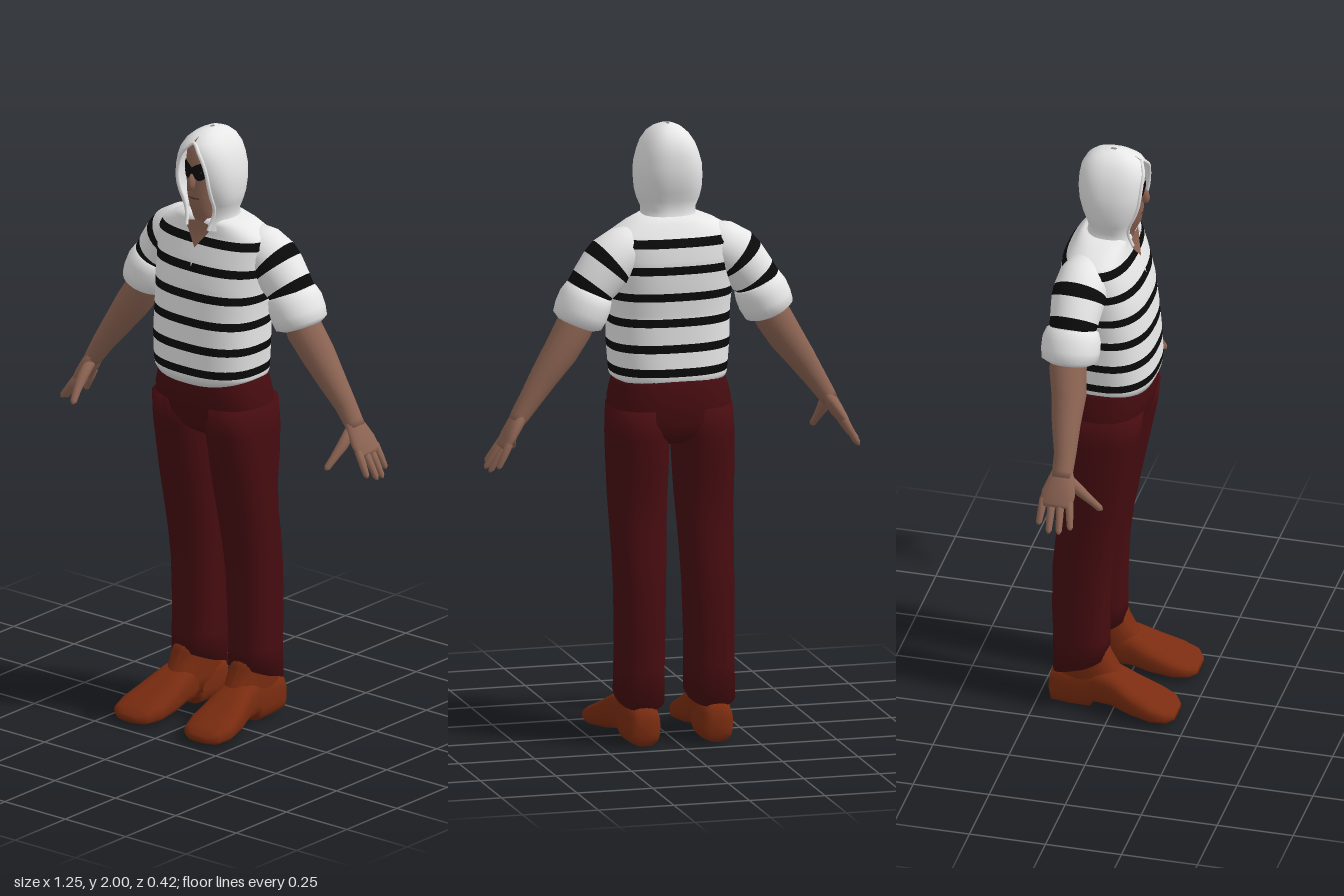
import * as THREE from 'three';

const paint = (name, color, side = THREE.FrontSide) => {
  const m = new THREE.MeshStandardMaterial({ color, side });
  m.name = name;
  return m;
};
const V = (x, y, z) => new THREE.Vector3(x, y, z);
const pw = (c, n) => Math.sign(c) * Math.abs(c) ** (2 / n);

// linear lookup in a table whose first column is y
function sample(table, y) {
  let i = 0;
  while (i < table.length - 2 && y > table[i + 1][0]) i++;
  const a = table[i], b = table[i + 1];
  const t = THREE.MathUtils.clamp((y - a[0]) / (b[0] - a[0]), 0, 1);
  return a.map((v, k) => v + (b[k] - v) * t);
}

// horizontal rounded ring, starting at the front; open = half width of a gap at the front
function ring([y, rx, zf, zb], { cx = 0, n = 2.3, seg = 32, open = 0, shift = null } = {}) {
  const zc = (zf + zb) / 2, rz = (zf - zb) / 2;
  const a0 = open ? Math.asin(Math.min(1, (open / rx) ** (n / 2))) : 0;
  return Array.from({ length: seg }, (_, j) => {
    const a = a0 + (2 * Math.PI - 2 * a0) * j / (seg - 1 + 1e-9);
    const s = Math.sin(a), c = Math.cos(a);
    return V(cx + rx * pw(s, n), y + (shift ? shift(s, c) : 0), zc + rz * pw(c, n));
  });
}

// skin over a row of rings; pick(i) gives the material index of band i
function loft(rings, { caps = true, pick = null } = {}) {
  const n = rings[0].length, pos = [], idx = [];
  const geo = new THREE.BufferGeometry();
  rings.forEach(r => r.forEach(p => pos.push(p.x, p.y, p.z)));
  for (let i = 0; i < rings.length - 1; i++) {
    const start = idx.length;
    for (let j = 0; j < n - (caps ? 0 : 1); j++) {
      const a = i * n + j, b = i * n + (j + 1) % n;
      idx.push(a, b, a + n, b, b + n, a + n);
    }
    if (pick) geo.addGroup(start, idx.length - start, pick(i));
  }
  if (caps) [0, rings.length - 1].forEach((i, end) => {
    const start = idx.length, k = pos.length / 3;
    const c = rings[i].reduce((s, p) => s.add(p), V(0, 0, 0)).divideScalar(n);
    pos.push(c.x, c.y, c.z);
    for (let j = 0; j < n; j++) {
      const a = i * n + j, b = i * n + (j + 1) % n;
      end ? idx.push(a, b, k) : idx.push(b, a, k);
    }
    if (pick) geo.addGroup(start, idx.length - start, 0);
  });
  geo.setAttribute('position', new THREE.Float32BufferAttribute(pos, 3));
  geo.setIndex(idx);
  geo.computeVertexNormals();
  return geo;
}

// limb along rows of [x, y, z, radius across, radius in depth]
function limb(rows, opts = {}, seg = 20) {
  const c = rows.map(r => V(r[0], r[1], r[2]));
  return loft(rows.map((r, i) => {
    const t = c[Math.min(i + 1, c.length - 1)].clone().sub(c[Math.max(i - 1, 0)]).normalize();
    const v = V(0, 0, 1).addScaledVector(t, -t.z).normalize();
    const u = v.clone().cross(t);
    return Array.from({ length: seg }, (_, j) => {
      const a = 2 * Math.PI * j / seg;
      return c[i].clone().addScaledVector(u, r[3] * Math.cos(a)).addScaledVector(v, (r[4] ?? r[3]) * Math.sin(a));
    });
  }), opts);
}

// thin painted plate that follows the front of a lofted table
function plate(table, n, w, lo, hi, lift = 0.004) {
  const rings = [0, 0.2, 0.4, 0.6, 0.8, 1].map(t => Array.from({ length: 17 }, (_, j) => {
    const x = w * (j / 8 - 1), y = lo(x) + (hi(x) - lo(x)) * t;
    const [, rx, zf, zb] = sample(table, y);
    const f = Math.max(0, 1 - Math.abs(x / rx) ** n) ** (1 / n);
    return V(x, y, (zf + zb) / 2 + (zf - zb) / 2 * f + lift);
  }));
  return loft(rings, { caps: false });
}

const TORSO = [[1.165, .185, .1, -.172], [1.19, .187, .112, -.18], [1.22, .19, .115, -.182], [1.3, .197, .11, -.178],
  [1.4, .197, .1, -.178], [1.5, .205, .085, -.188], [1.58, .213, .062, -.192], [1.63, .216, .044, -.185],
  [1.66, .197, .034, -.165], [1.69, .145, .03, -.145], [1.71, .095, .028, -.125]];
const HEAD = [[1.66, .05, .03, -.09], [1.7, .053, .033, -.09], [1.725, .047, .045, -.085], [1.745, .05, .055, -.09],
  [1.79, .058, .063, -.1], [1.84, .065, .063, -.12], [1.88, .069, .065, -.12], [1.93, .064, .058, -.11], [1.965, .04, .03, -.07]];
// last column: half width of the face opening
const HOOD = [[1.675, .105, .045, -.14, .045], [1.7, .088, .04, -.118, .05], [1.73, .087, .04, -.112, .058],
  [1.76, .1, .046, -.118, .063], [1.79, .107, .06, -.13, .064], [1.83, .109, .074, -.141, .064],
  [1.87, .107, .079, -.145, .06], [1.91, .096, .079, -.143, .048], [1.94, .084, .075, -.137, .032],
  [1.967, .066, .058, -.122, .004], [1.985, .046, .03, -.1, 0], [1.995, .026, .003, -.075, 0], [2, .006, -.025, -.045, 0]];
const LEG = [[.155, .08, -.02, -.2], [.25, .079, -.02, -.2], [.35, .079, -.02, -.204], [.5, .081, -.013, -.203],
  [.6, .084, 0, -.194], [.7, .088, .018, -.178], [.8, .093, .038, -.172], [.9, .096, .058, -.184], [1, .097, .078, -.19], [1.09, .093, .088, -.186]];
const PELVIS = [[.975, .17, .02, -.14], [1, .19, .055, -.172], [1.05, .202, .084, -.19], [1.12, .197, .101, -.19], [1.17, .184, .1, -.182], [1.205, .177, .098, -.174]];
const FOOT = [[-.21, .12, .03, .09, .03], [-.2, .12, .05, .13, .005], [-.14, .12, .057, .15, 0], [-.075, .122, .057, .16, 0],
  [-.06, .123, .057, .16, .02], [0, .127, .066, .145, .022], [.07, .135, .08, .108, .008], [.14, .142, .087, .077, .002],
  [.19, .145, .075, .056, .004], [.213, .145, .045, .036, .012]];
const STRIPES = [1.214, 1.292, 1.377, 1.462, 1.55, 1.637], HALF = 0.0135;

export function createModel() {
  const white = paint('white cloth', 0xf0f0f0, THREE.DoubleSide), black = paint('black cloth', 0x0a0a0a);
  const skin = paint('skin', 0x8c6453), dark = paint('dark skin', 0x5a3a2e);
  const red = paint('dark red cloth', 0x460c10), brown = paint('brown leather', 0x7a2c10);
  const model = new THREE.Group();
  const add = (name, geo, mat) => {
    const m = new THREE.Mesh(geo, mat);
    m.name = name;
    model.add(m);
    return m;
  };

  // striped shirt, hem rising at the sides
  const ys = [...TORSO.map(r => r[0]), ...STRIPES.flatMap(y => [y - HALF, y + HALF])].sort((a, b) => a - b);
  const inStripe = i => STRIPES.some(s => Math.abs((ys[i] + ys[i + 1]) / 2 - s) < HALF) ? 1 : 0;
  const body = ys.map((y, i) => ring(sample(TORSO, y), { n: 2.5, seg: 48, shift: i ? null : s => 0.02 * s * s }));
  add('shirt', loft(body, { pick: inStripe }), [white, black]);
  add('collarFold', plate(TORSO, 2.5, .013, x => 1.553 + 3 * Math.abs(x), () => 1.625, .003), white);
  add('openNeck', plate(TORSO, 2.5, .05, x => 1.612 + 1.3 * Math.abs(x), x => 1.7 - .2 * Math.abs(x), .005), skin);

  // head, face and mask
  add('head', loft(HEAD.map(r => ring(r, { n: 2.1 }))), skin);
  const nose = add('nose', new THREE.SphereGeometry(1, 14, 10), skin);
  nose.scale.set(.011, .028, .017);
  nose.position.set(0, 1.84, .066);
  nose.rotation.x = -0.2;
  add('mouth', plate(HEAD, 2.1, .022, x => 1.779 + 2 * x * x, x => 1.785 - 2 * x * x, .002), dark);
  add('mask', plate(HEAD, 2.1, .058, x => 1.867 - .022 * Math.sin(Math.min(1, Math.abs(x) / .05) * Math.PI),
    x => 1.888 + .016 * Math.sin(Math.min(1, Math.abs(x) / .058) * Math.PI * .8)), black);
  for (const s of [-1, 1]) {
    const eye = add('eye', new THREE.CircleGeometry(1, 12), dark);
    eye.scale.set(.009, .004, 1);
    eye.position.set(s * .026, 1.873, .061);
    eye.rotation.y = s * .2;
  }

  // hood with a rolled rim round the face
  const hood = HOOD.map(r => ring(r, { n: 2.4, seg: 41, open: r[4] }));
  add('hood', loft(hood, { caps: false }), white);
  const rim = hood.slice(0, 10);
  const rimPath = [...rim.map(r => r[0]), ...rim.map(r => r[40]).reverse()];
  add('hoodRim', new THREE.TubeGeometry(new THREE.CatmullRomCurve3(rimPath), 60, .006, 8), white);

  // trousers
  add('trouserSeat', loft(PELVIS.map(r => ring(r, { n: 2.4, seg: 40 }))), red);

  for (const s of [1, -1]) {
    add('trouserLeg', loft(LEG.map((r, i) =>
      ring(r, { cx: s * (.108 + .01 * (1 - r[0])), n: 2.4, shift: i ? null : (a, c) => .035 * c }))), red);

    // shoe: ankle and foot with a heel
    add('shoeAnkle', loft([[.05, .052, .05, -.19], [.1, .056, .04, -.198], [.15, .06, .01, -.195], [.19, .062, -.014, -.185], [.235, .061, -.026, -.17]]
      .map(r => ring(r, { cx: s * .119, n: 2.4 }))), brown);
    add('shoe', loft(FOOT.map(([z, cx, w, top, low]) => Array.from({ length: 28 }, (_, j) => {
      const a = 2 * Math.PI * j / 28;
      return V(s * cx + w * pw(Math.cos(a), 2.8), (top + low) / 2 + (top - low) / 2 * pw(Math.sin(a), 2.8), z);
    }))), brown);

    // sleeve with two stripes, and rolled cuff
    const at = rows => rows.map(([x, y, z, a, b]) => [s * x, y, z, a, b ?? a]);
    add('sleeve', limb(at([[.1, 1.625, -.085, .065], [.16, 1.603, -.09, .082], [.203, 1.574, -.093, .087], [.222, 1.553, -.095, .086],
      [.264, 1.502, -.097, .078], [.281, 1.479, -.098, .074], [.295, 1.45, -.098, .07]]),
      { pick: i => i === 2 || i === 4 ? 1 : 0 }, 28), [white, black]);
    add('cuff', limb(at([[.272, 1.488, -.098, .066], [.277, 1.478, -.098, .079, .084], [.29, 1.452, -.098, .086, .094], [.304, 1.418, -.098, .087, .095],
      [.317, 1.388, -.098, .082, .09], [.322, 1.376, -.098, .062]]), {}, 28), white);

    // bare forearm and hand; the right hand is held further forward
    const w = s > 0 ? -.12 : -.07;
    add('forearm', limb(at([[.28, 1.46, -.098, .055], [.33, 1.362, -.1, .06], [.375, 1.292, (w - .1) / 2, .056], [.43, 1.215, (w * 2 - .1) / 3, .046],
      [.48, 1.142, w, .036], [.513, 1.092, w, .03, .034], [.525, 1.075, w, .026, .036]])), skin);
    add('palm', limb(at([[.505, 1.103, w, .022, .03], [.528, 1.068, w, .024, .045], [.55, 1.033, w - .004, .021, .055],
      [.57, 1.002, w - .008, .016, .054], [.576, .994, w - .008, .01, .046]])), skin);
    [[.05, .612, .938], [.015, .624, .925], [-.02, .618, .92], [-.057, .6, .937]].forEach(([dz, x, y], k) => {
      const z0 = w - .008 + .042 - .028 * k, z1 = w + dz;
      add('finger', limb(at([0, .5, .9, 1].map((t, i) => [.56 + (x - .56) * t, 1.015 + (y - 1.015) * t, z0 + (z1 - z0) * t, [.013, .012, .01, .004][i]])), {}, 10), skin);
    });
    add('thumb', limb(at([[.518, 1.07, w + .02, .018], [.518, 1.03, w + .06, .018], [.511, .995, w + .095, .013], [.504, .968, w + .12, .011], [.502, .962, w + .127, .004]]), {}, 10), skin);
  }
  return model;
}
